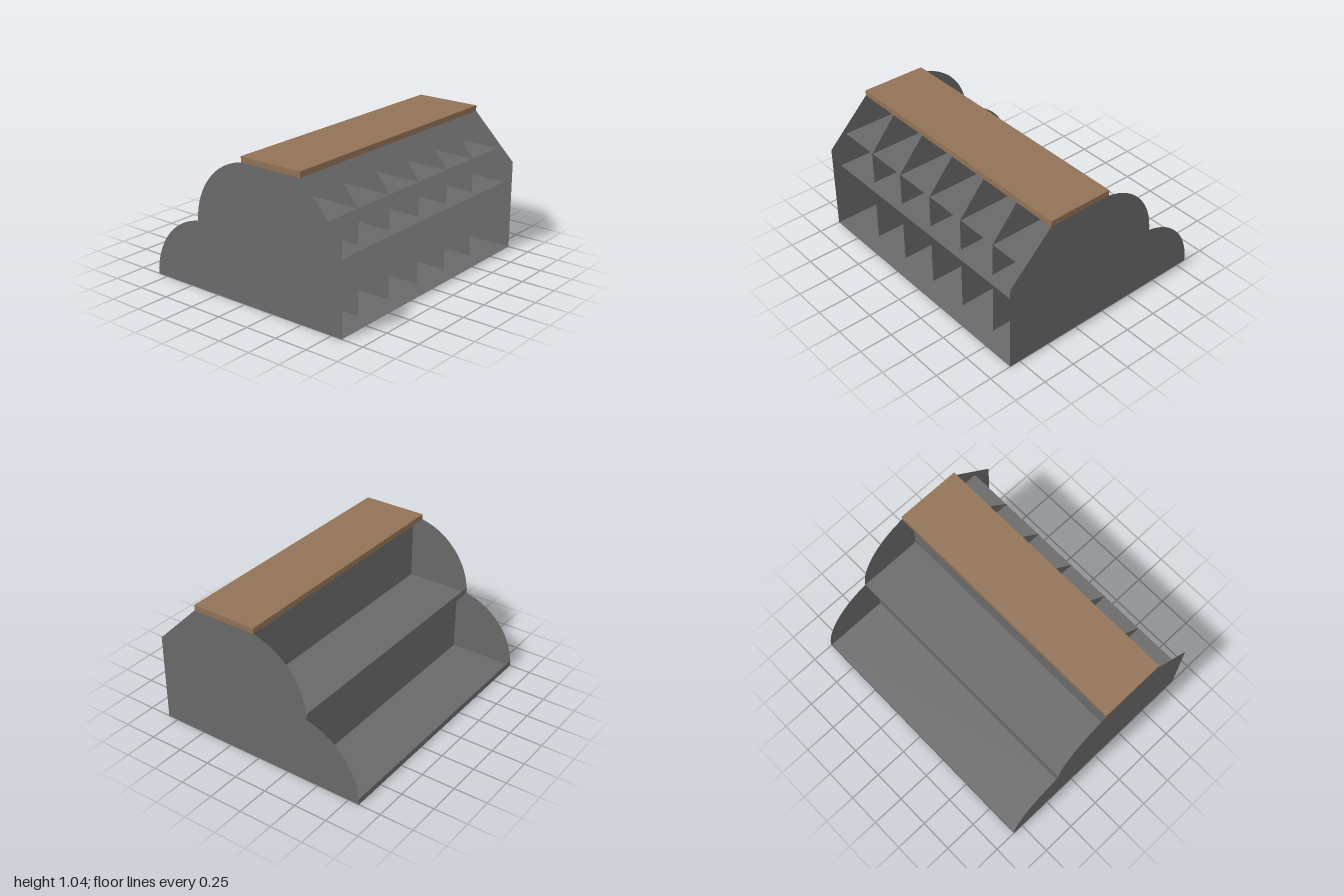
import * as THREE from 'three';

const FRONT = 0.833, BACK = -0.833, STEP = -0.417;
const LOW_WALL = -0.333, HIGH_WALL = 0.083;

export function createModel() {
  const group = new THREE.Group();
  const grey = new THREE.MeshStandardMaterial({ color: 0x696969, side: THREE.DoubleSide });
  grey.name = 'grey metal';
  const brown = new THREE.MeshStandardMaterial({ color: 0x927256 });
  brown.name = 'brown wood';

  const add = (name, geometry, material = grey) => {
    const mesh = new THREE.Mesh(geometry, material);
    mesh.name = name;
    group.add(mesh);
    return mesh;
  };
  // Horizontal sheet between two depths
  const shelf = (name, y, z0, z1) =>
    add(name, new THREE.PlaneGeometry(2, z1 - z0).rotateX(-Math.PI / 2).translate(0, y, (z0 + z1) / 2));
  // Upright sheet across the full width, facing the back
  const wall = (name, z, y0, y1) =>
    add(name, new THREE.PlaneGeometry(2, y1 - y0).rotateY(Math.PI).translate(0, (y0 + y1) / 2, z));
  // Upright sheet in the depth direction; the shape is drawn in (-z, y)
  const upright = (name, shape, x) =>
    add(name, new THREE.ShapeGeometry(shape, 24).rotateY(Math.PI / 2).translate(x, 0, 0));

  // Side panels: sloped front, two rounded steps at the back
  const r = 0.508, start = Math.atan2(0.5, 0.092);
  const side = new THREE.Shape();
  side.moveTo(-FRONT, 0);
  side.lineTo(-FRONT, 0.667);
  side.lineTo(-0.5, 1);
  side.lineTo(0, 1);
  side.absarc(-0.092, 0.5, r, start, 0, true);
  side.lineTo(-STEP, 0.5);
  side.absarc(0.325, 0, r, start, 0, true);
  side.lineTo(-FRONT, 0);
  for (const s of [-1, 1]) upright(s > 0 ? 'leftSidePanel' : 'rightSidePanel', side, s);

  // Floor and shelves
  shelf('backFloor', 0, BACK, LOW_WALL);
  shelf('frontFloor', 0, LOW_WALL, FRONT);
  shelf('middleShelf', 0.5, STEP, 0.765);
  shelf('upperFrontShelf', 0.75, HIGH_WALL, 0.695);

  // Inner walls and the low lips along the back shelves
  wall('lowerWall', LOW_WALL, 0, 0.5);
  wall('upperWall', HIGH_WALL, 0.5, 1);
  wall('lowerLip', BACK, 0, 0.045);
  wall('upperLip', STEP, 0.5, 0.545);

  // Dividers making six bays at the front
  const divider = new THREE.Shape([
    [-LOW_WALL, 0], [-LOW_WALL, 0.5], [-HIGH_WALL, 0.5], [-HIGH_WALL, 1],
    [-0.49, 1], [-0.7, 0.75], [-0.7, 0],
  ].map(([u, y]) => new THREE.Vector2(u, y)));
  for (let i = 1; i < 6; i++) upright('divider' + i, divider, -1 + i / 3);

  // Counter top
  add('counterTop', new THREE.BoxGeometry(2, 0.042, 0.5).translate(0, 1.021, 0.25), brown);

  return group;
}
